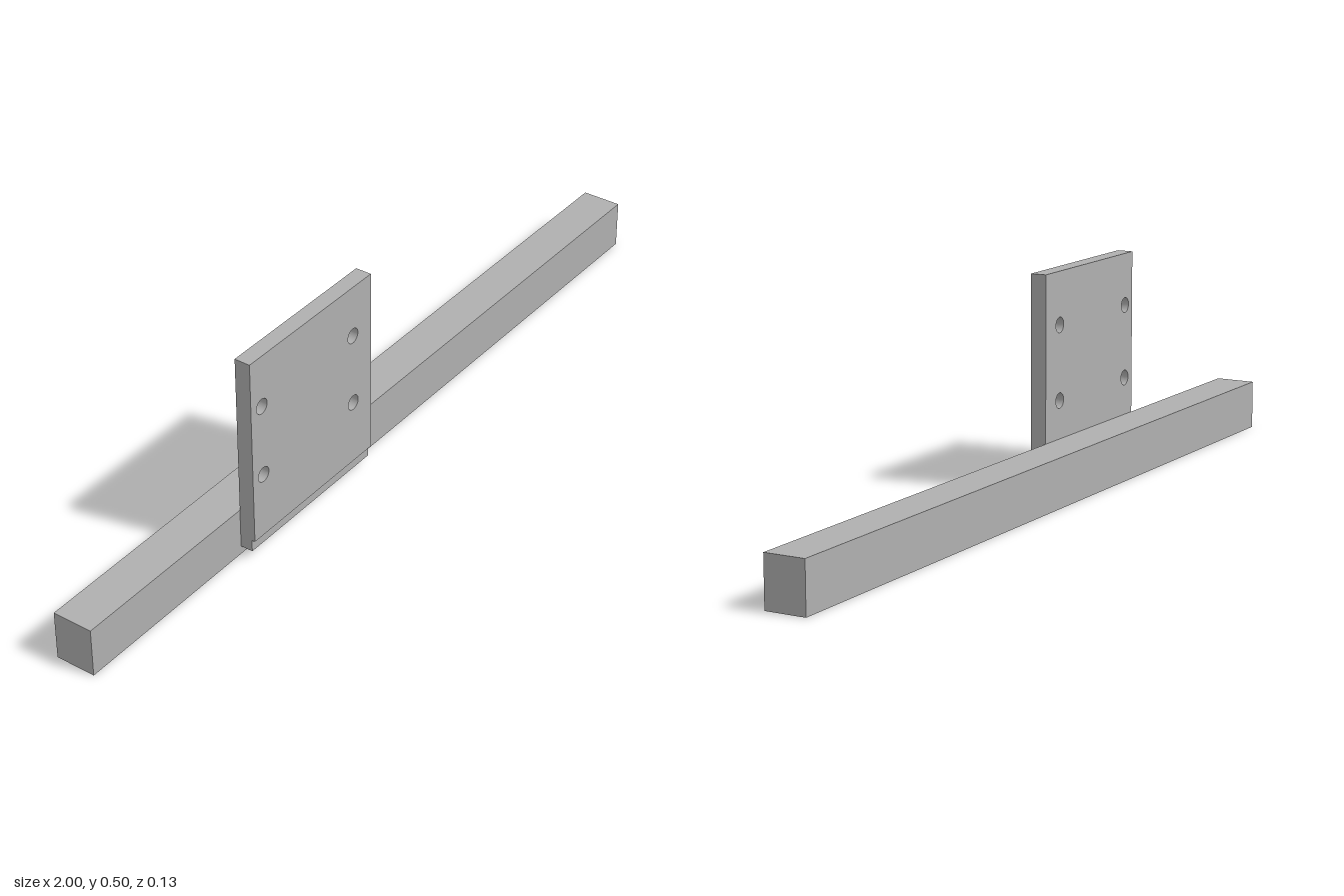
import * as THREE from 'three';

export function createModel() {
  const group = new THREE.Group();
  const grey = new THREE.MeshStandardMaterial({ color: 0xb0b0b0 });
  grey.name = 'plain grey';

  const add = (name, geometry, x, y, z) => {
    const mesh = new THREE.Mesh(geometry, grey);
    mesh.name = name;
    mesh.position.set(x, y, z);
    group.add(mesh);
  };

  // Long square bar
  add('bar', new THREE.BoxGeometry(2, 0.116, 0.096), 0, 0.058, -0.019);

  // Upright plate with four bolt holes
  const left = -0.52, right = -0.102, bottom = 0.049, top = 0.502;
  const outline = new THREE.Shape();
  outline.moveTo(left, bottom);
  outline.lineTo(right, bottom);
  outline.lineTo(right, top);
  outline.lineTo(left, top);
  outline.closePath();
  for (const x of [-0.484, -0.167]) {
    for (const y of [0.205, 0.379]) {
      outline.holes.push(new THREE.Path().absarc(x, y, 0.018, 0, Math.PI * 2, true));
    }
  }
  const plate = new THREE.ExtrudeGeometry(outline, { depth: 0.038, bevelEnabled: false, curveSegments: 24 });
  add('mountingPlate', plate, 0, 0, 0.029);

  // Thinner rebated lip along the plate's lower edge
  add('plateLip', new THREE.BoxGeometry(right - left, 0.029, 0.03), (left + right) / 2, 0.0345, 0.044);

  return group;
}
